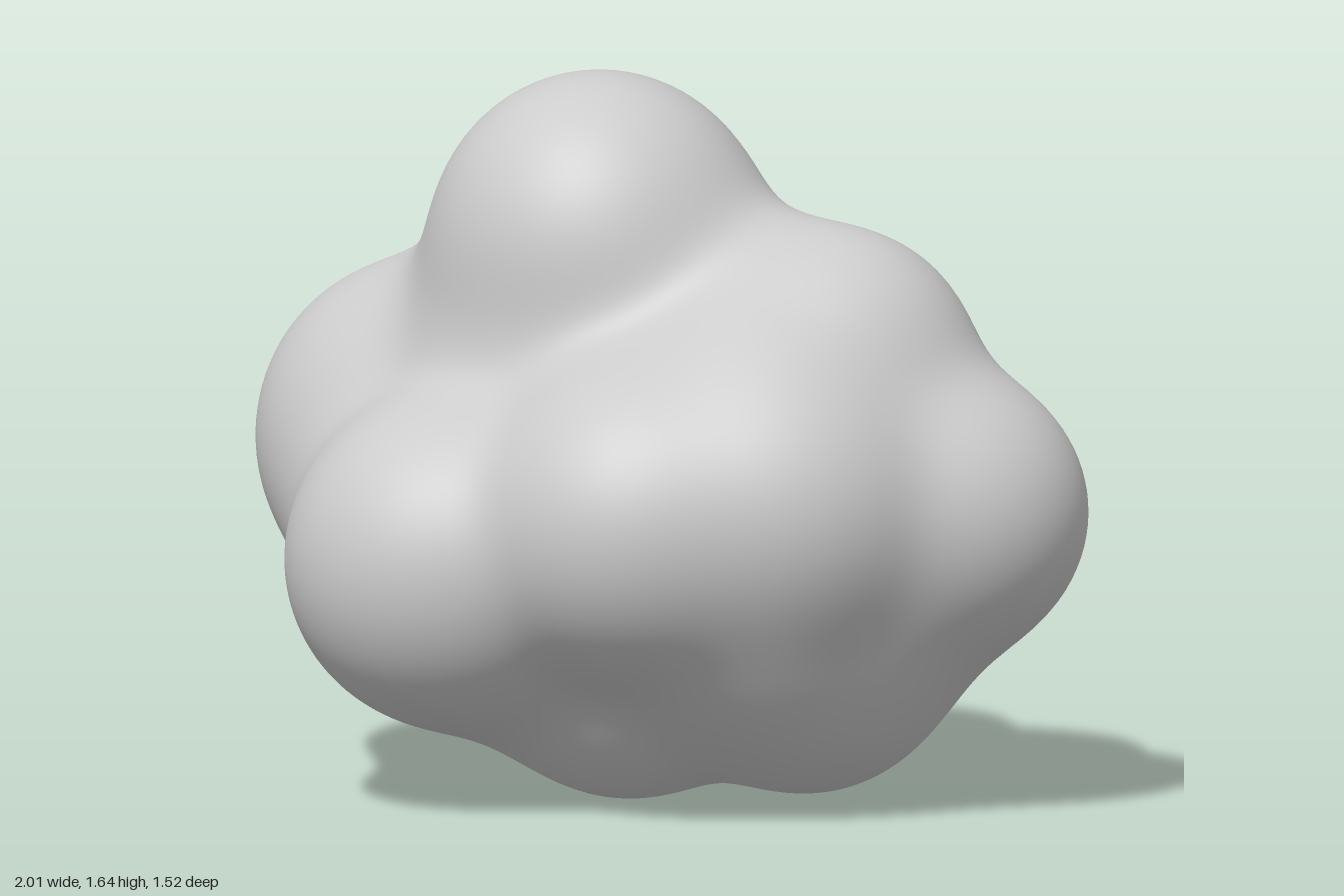
import * as THREE from 'three';
import { mergeVertices } from 'three/addons/utils/BufferGeometryUtils.js';

// Puffs of the cloud: x, y, z, radius
const PUFFS = [
  [0, 0.7, 0, 0.42],            // core
  [-0.2, 0.94, -0.04, 0.39],    // neck under the crown
  [-0.16, 1.262, -0.005, 0.376], // crown
  [0.42, 1.0, -0.02, 0.3],      // upper shoulder, +x
  [0.675, 0.68, -0.025, 0.32],  // side, +x
  [-0.66, 0.75, -0.11, 0.33],   // side, -x
  [-0.66, 0.85, -0.13, 0.285],  // upper side, -x
  [-0.375, 0.56, 0.345, 0.375], // front, -x
  [0.1, 0.68, 0.395, 0.355],    // front, middle
  [0.38, 0.71, 0.27, 0.34],     // front, +x
  [-0.39, 0.78, -0.41, 0.335],  // back, -x
  [0.0, 0.77, -0.425, 0.325],   // back, middle
  [-0.065, 0.315, 0.05, 0.31],  // underside
  [0.36, 0.34, 0.03, 0.295],    // underside, +x
  [0.3, 0.37, -0.38, 0.265],    // lower back, +x
];

// Softer puffs that fill the hollows between the main ones
const FILLERS = [
  [0.48, 0.48, 0.02, 0.265],    // under the +x side
  [0.3, 0.46, 0.2, 0.29],       // front to underside, +x
  [-0.25, 0.42, 0.14, 0.26],    // front to underside, -x
  [-0.16, 0.4, -0.12, 0.23],    // back to underside
  [0.3, 0.86, 0.2, 0.29],       // shoulder to front
  [0.2, 1.05, -0.02, 0.25],     // crown to shoulder
  [-0.48, 0.99, -0.1, 0.19],    // crown to -x side
  [-0.18, 1.05, -0.15, 0.27],   // crown to back
  [-0.2, 0.78, -0.43, 0.28],    // between the back puffs
  [0.3, 0.55, -0.3, 0.26],      // above the lower back puff
  [0.33, 0.33, -0.17, 0.21],    // underside to lower back
  [-0.55, 0.6, 0.05, 0.275],    // -x side to front
];
const BLEND = 0.06;
const ALL = [...PUFFS, ...FILLERS];

// Distance to the softly blended union of all puffs
function distance(p) {
  let sum = 0;
  for (const [x, y, z, r] of ALL) {
    sum += Math.exp(-(Math.hypot(p.x - x, p.y - y, p.z - z) - r) / BLEND);
  }
  return -BLEND * Math.log(sum);
}

// Shrink-wrap a fine sphere onto the blended puffs
function cloudGeometry() {
  let geo = new THREE.IcosahedronGeometry(1, 40);
  geo.deleteAttribute('uv');
  geo.deleteAttribute('normal');
  geo = mergeVertices(geo, 1e-5);
  const pos = geo.attributes.position;
  const centre = new THREE.Vector3(0, 0.7, 0);
  const dir = new THREE.Vector3();
  const p = new THREE.Vector3();
  for (let i = 0; i < pos.count; i++) {
    dir.fromBufferAttribute(pos, i).normalize();
    let reach = 1.5;
    for (let step = 0; step < 90; step++) {
      const d = distance(p.copy(centre).addScaledVector(dir, reach));
      reach -= d;
      if (Math.abs(d) < 1e-5) break;
    }
    p.copy(centre).addScaledVector(dir, reach);
    pos.setXYZ(i, p.x, p.y, p.z);
  }
  geo.computeVertexNormals();
  return geo;
}

export function createModel() {
  const group = new THREE.Group();
  group.name = 'cloud';
  const puffs = new THREE.Mesh(
    cloudGeometry(),
    new THREE.MeshStandardMaterial({ color: 0xcccccc })
  );
  puffs.name = 'cloudPuffs';
  group.add(puffs);
  return group;
}
